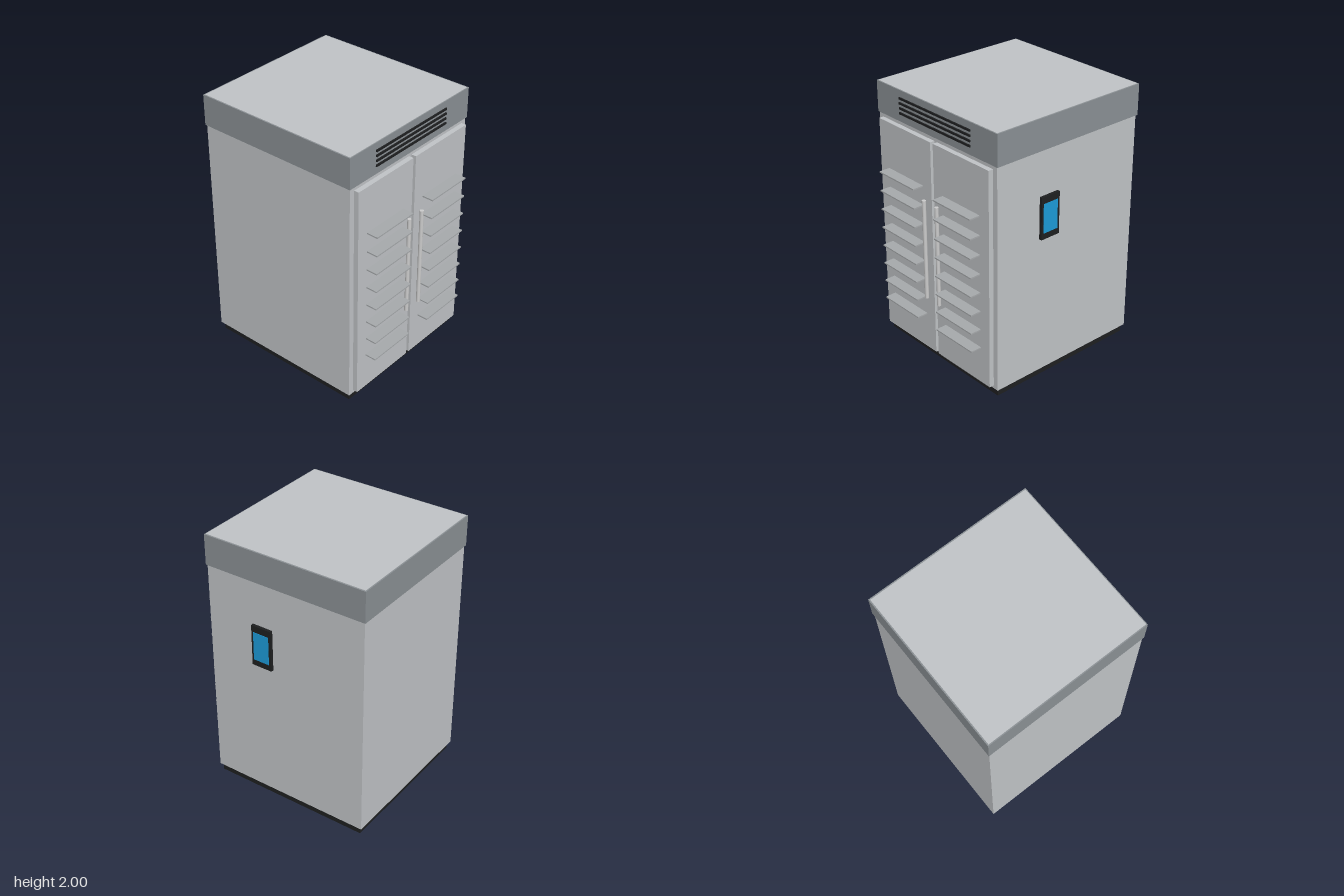
import * as THREE from 'three';

const mat = (color) => new THREE.MeshStandardMaterial({ color });

export function createModel() {
  const model = new THREE.Group();
  const steel = mat(0xc0c3c6), trim = mat(0x8a9094), slatGrey = mat(0xa6a9ab);
  const bright = mat(0xdcdfe0), black = mat(0x1e1f20), blue = mat(0x1c9ad8);

  // Box given by its extents on each axis
  function box(name, [x0, x1], [y0, y1], [z0, z1], material, parent = model) {
    const mesh = new THREE.Mesh(new THREE.BoxGeometry(x1 - x0, y1 - y0, z1 - z0), material);
    mesh.position.set((x0 + x1) / 2, (y0 + y1) / 2, (z0 + z1) / 2);
    mesh.name = name;
    parent.add(mesh);
    return mesh;
  }

  // Cabinet: plinth, body reaching the top, and a darker band around its head
  box('plinth', [-0.605, 0.586], [0, 0.06], [-0.674, 0.563], black);
  box('cabinetBody', [-0.624, 0.604], [0.058, 2], [-0.694, 0.58], steel);
  box('headerBand', [-0.632, 0.614], [1.768, 1.998], [-0.703, 0.587], trim);

  // Vent slots on the header
  const vent = new THREE.Group();
  vent.name = 'vent';
  model.add(vent);
  for (let i = 0; i < 4; i++) {
    const y = 1.832 + i * 0.0363;
    box('ventSlot', [-0.379, 0.358], [y - 0.007, y + 0.007], [0.58, 0.597], black, vent);
  }

  // Two doors mirrored about the centre seam, each with shelves and a handle
  const seam = -0.0095;
  for (const side of [-1, 1]) {
    const door = new THREE.Group();
    door.name = side < 0 ? 'rightDoor' : 'leftDoor';
    door.position.x = seam;
    model.add(door);
    const span = (a, b) => (side < 0 ? [-b, -a] : [a, b]);
    box('doorPanel', span(0.0135, 0.573), [0.083, 1.74], [0.575, 0.617], steel, door);
    for (let i = 0; i < 8; i++) {
      const y = 0.366 + i * 0.1455;
      box('shelf', span(0.105, 0.483), [y - 0.005, y + 0.005], [0.6, 0.702], slatGrey, door);
    }
    const handle = new THREE.Mesh(new THREE.CylinderGeometry(0.0145, 0.0145, 0.772, 16), bright);
    handle.position.set(side * 0.068, 0.913, 0.643);
    handle.name = 'handle';
    door.add(handle);
  }

  // Control panel on the left side
  const panel = new THREE.Group();
  panel.name = 'controlPanel';
  model.add(panel);
  box('panelFrame', [0.595, 0.626], [1.117, 1.434], [0.044, 0.206], black, panel);
  box('panelScreen', [0.61, 0.629], [1.164, 1.384], [0.063, 0.19], blue, panel);

  return model;
}
